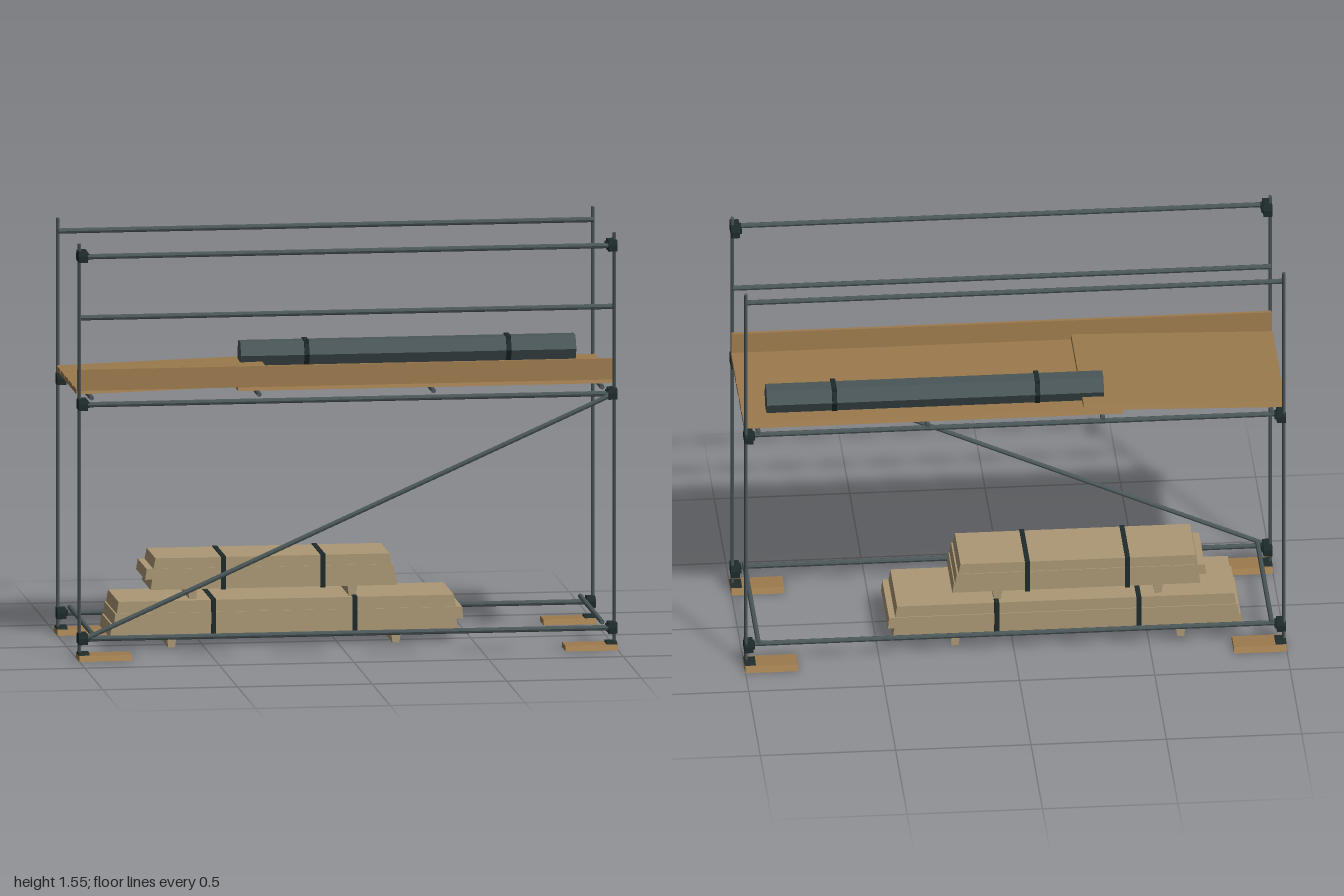
import * as THREE from 'three';

const mat = (name, color, side = THREE.FrontSide) => {
  const m = new THREE.MeshStandardMaterial({ color, flatShading: true, side });
  m.name = name;
  return m;
};

export function createModel() {
  const steel = mat('steel', 0x4a5658);
  const iron = mat('darkIron', 0x1e2a2a);
  const plankWood = mat('plankWood', 0x9b7a4d);
  const paleWood = mat('paleTimber', 0xac9875);
  const model = new THREE.Group();
  model.name = 'scaffold';

  const add = (name, geo, material, x = 0, y = 0, z = 0) => {
    const mesh = new THREE.Mesh(geo, material);
    mesh.name = name;
    mesh.position.set(x, y, z);
    model.add(mesh);
    return mesh;
  };
  const box = (name, material, x0, x1, y0, y1, z0, z1) =>
    add(name, new THREE.BoxGeometry(x1 - x0, y1 - y0, z1 - z0), material,
      (x0 + x1) / 2, (y0 + y1) / 2, (z0 + z1) / 2);
  // straight tube between two points
  const tube = (name, a, b, r = 0.009, sides = 8) => {
    const p = new THREE.Vector3(...a), q = new THREE.Vector3(...b);
    const mesh = add(name, new THREE.CylinderGeometry(r, r, p.distanceTo(q), sides), steel);
    mesh.position.copy(p).add(q).multiplyScalar(0.5);
    mesh.quaternion.setFromUnitVectors(new THREE.Vector3(0, 1, 0), q.sub(p).normalize());
    return mesh;
  };
  // outline in x-y, extruded along z
  const prism = (points, depth) => {
    const shape = new THREE.Shape(points.map(p => new THREE.Vector2(...p)));
    return new THREE.ExtrudeGeometry(shape, { depth, bevelEnabled: false });
  };
  // outline in z-y, extruded along x from x0 to x1
  const prismX = (name, material, points, x0, x1) => {
    const geo = prism(points.map(([z, y]) => [-z, y]), x1 - x0);
    geo.rotateY(Math.PI / 2);
    return add(name, geo, material, x0, 0, 0);
  };

  // Clamp: flared shell around the post and the rail
  const coupler = (s, y, z, half) => {
    const x0 = s < 0 ? -1 : 0.967, x1 = s < 0 ? -0.967 : 1;
    prismX('coupler', iron, [[z - half, y - 0.02], [z + half, y - 0.02], [z + half, y + 0.004],
      [z + half - 0.008, y + 0.02], [z - half + 0.008, y + 0.02], [z - half, y + 0.004]], x0, x1);
    box('couplerBolt', iron, s * 0.973 - 0.013, s * 0.973 + 0.013, y - 0.011, y + 0.011,
      z - half * 0.6, z + half * 0.6);
  };

  // Corner posts with base plates and sole boards
  for (const s of [-1, 1]) {
    for (const f of [-1, 1]) {
      const post = add('post', new THREE.CylinderGeometry(0.012, 0.012, 1.53, 8), steel, s * 0.9935, 0.785, f * 0.3);
      post.scale.x = 0.54;
      const zc = f * 0.303;
      prismX('soleBoard', plankWood, [[zc - 0.056, 0], [zc + 0.056, 0], [zc + 0.042, 0.02], [zc - 0.042, 0.02]],
        s < 0 ? -1 : 0.805, s < 0 ? -0.805 : 1);
      prismX('basePlate', iron, [[zc - 0.036, 0.02], [zc + 0.036, 0.02], [zc + 0.02, 0.029], [zc - 0.02, 0.029]],
        s < 0 ? -1 : 0.96, s < 0 ? -0.96 : 1);
    }
    // Clamps
    for (const y of [0.08, 0.953]) {
      coupler(s, y, 0.307, 0.036);
      coupler(s, y, -0.287, 0.029);
    }
    coupler(s, 1.505, 0.302, 0.041);
    // Low cross tubes
    tube('lowCrossTube', [s * 0.948, 0.098, -0.305], [s * 0.948, 0.098, 0.305]);
  }

  // Lengthwise ledgers, guard rails and the front diagonal brace
  for (const y of [0.08, 0.953]) {
    tube('frontLedger', [-0.995, y, 0.321], [0.995, y, 0.321], 0.01);
    tube('backLedger', [-0.995, y, -0.28], [0.995, y, -0.28], 0.01);
  }
  tube('frontTopRail', [-0.995, 1.505, 0.321], [0.995, 1.505, 0.321], 0.01);
  tube('frontMidRail', [-0.995, 1.27, 0.274], [0.995, 1.27, 0.274], 0.01);
  tube('backTopRail', [-0.995, 1.505, -0.278], [0.995, 1.505, -0.278], 0.01);
  tube('diagonalBrace', [-0.98, 0.08, 0.331], [0.99, 0.955, 0.331]);
  for (const x of [-0.948, -0.325, 0.322, 0.948])
    tube('deckTransom', [x, 0.974, -0.305], [x, 0.974, 0.302]);

  // Deck planks with chamfered tops; the left run laps over the right run
  const pitch = 0.1125;
  for (let i = 0; i < 5; i++) {
    const z0 = -0.288 + i * pitch, z1 = z0 + pitch;
    const profile = y => [[z0, y], [z1, y], [z1 - 0.009, y + 0.02], [z0 + 0.009, y + 0.02]];
    prismX('deckPlank', plankWood, profile(0.984), -0.4, 1);
    const lap = prismX('lappedPlank', plankWood, profile(0), 0, 0.745);
    lap.position.set(-1, 0.984, 0);
    lap.rotation.z = 0.028;
  }
  prismX('toeBoard', plankWood, [[0.27, 1.0], [0.29, 1.0], [0.288, 1.078], [0.274, 1.078]], -0.998, 0.998);

  // Hexagonal bundle of tubes lying on the deck
  tube('tubeBundle', [-0.335, 1.048, -0.181], [0.91, 1.048, -0.181], 0.055, 6).rotateY(0);
  const bundle = model.children[model.children.length - 1];
  bundle.geometry = new THREE.CylinderGeometry(0.055, 0.055, 1.245, 6);
  for (const x of [-0.09, 0.66]) {
    const strap = add('bundleStrap', new THREE.CylinderGeometry(0.061, 0.061, 0.018, 6), iron, x, 1.048, -0.181);
    strap.rotation.z = -Math.PI / 2;
    box('strapBuckle', iron, x - 0.009, x + 0.009, 1.07, 1.1, -0.22, -0.142);
  }

  // Stacks of timber: layers with ragged slanted ends, bearers and straps
  const layer = (x0, x1, y0, h, z0, z1, skew) =>
    add('timberLayer', prism([[x0, y0], [x1, y0], [x1 - skew, y0 + h], [x0 + skew, y0 + h]], z1 - z0), paleWood, 0, 0, z0);
  const stack = (layers, y, h, z0, z1, bearers, bearerY, bz0, bz1, straps) => {
    layers.forEach(([x0, x1, skew, inset], i) => layer(x0, x1, y + i * h, h, z0 + inset, z1 - inset, skew));
    for (const x of bearers)
      add('bearer', prism([[x - 0.013, bearerY], [x + 0.013, bearerY], [x + 0.018, y], [x - 0.018, y]], bz1 - bz0),
        paleWood, 0, 0, bz0);
    const top = y + layers.length * h;
    for (const x of straps)
      box('timberStrap', iron, x - 0.009, x + 0.009, y - 0.003, top + 0.003, z0 - 0.003, z1 + 0.003);
  };
  stack([[-0.85, 0.445, 0.008, 0.005], [-0.835, 0.462, 0.004, 0], [-0.825, 0.435, 0.007, 0.004]],
    0.042, 0.0443, -0.218, 0.08, [-0.62, 0.213], 0, -0.207, 0.072, [-0.465, 0.06]);
  stack([[-0.695, 0.222, 0.006, 0.004], [-0.716, 0.212, 0.006, 0], [-0.685, 0.2, 0.008, 0.003]],
    0.212, 0.0393, -0.197, 0.052, [-0.538, 0.055], 0.174, -0.188, 0.042, [-0.425, -0.055]);

  return model;
}
